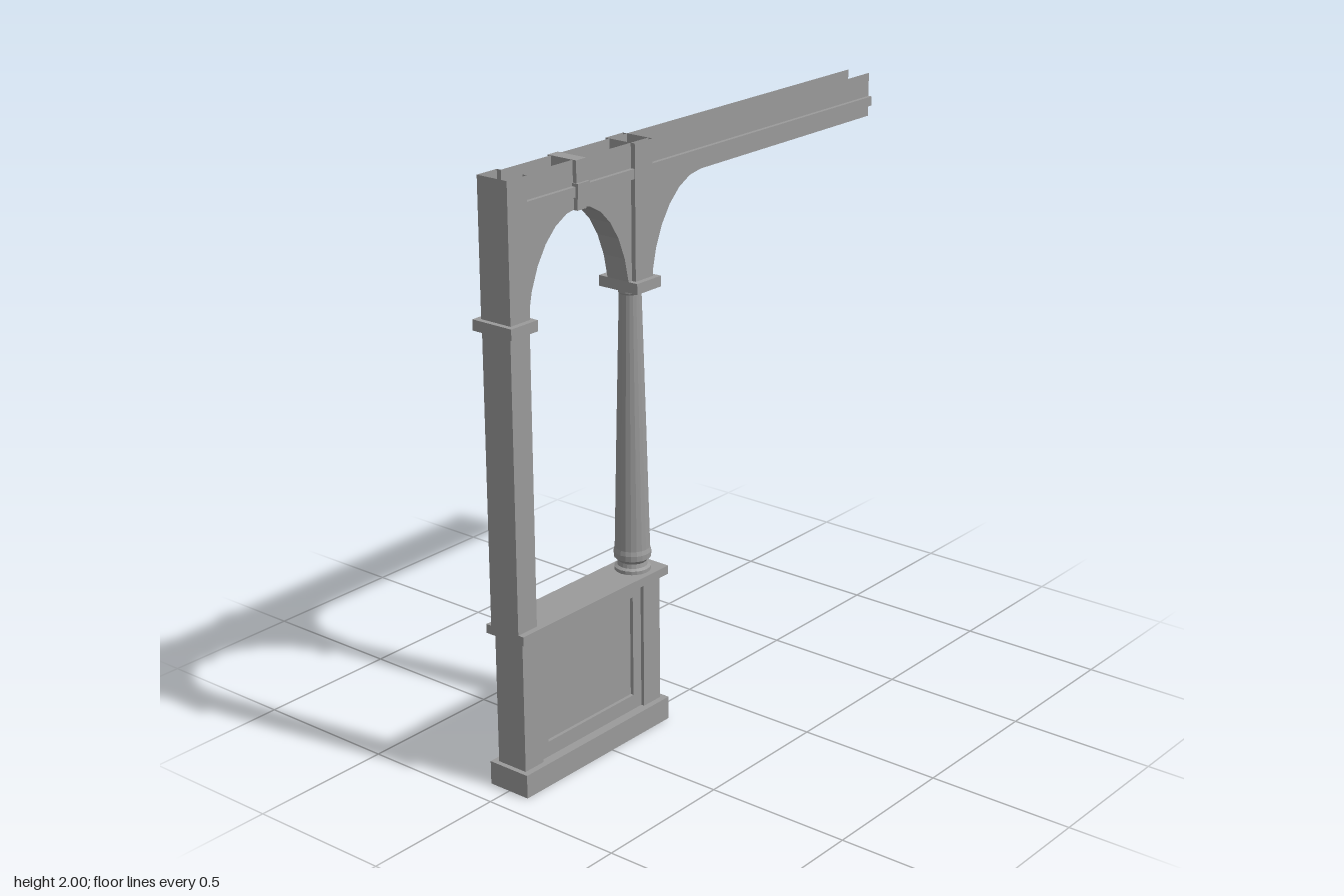
import * as THREE from 'three';

const material = new THREE.MeshStandardMaterial({ color: 0x9a9a9a, flatShading: true, side: THREE.DoubleSide });

// Main sizes
const WALL = 0.043, POST = 0.057, LEDGE = 0.078;   // half depths
const SPRING = 1.56, CROWN = 1.85, RIDGE = 1.888, TOP = 2;
const X_POST = -0.827, X_END = 0.927, X_COL = -0.298;

export function createModel() {
  const model = new THREE.Group();

  function add(name, geometry, x = 0, y = 0, z = 0, parent = model) {
    const mesh = new THREE.Mesh(geometry, material);
    mesh.name = name;
    mesh.position.set(x, y, z);
    parent.add(mesh);
    return mesh;
  }

  // Solid block from its limits
  function block(name, x0, x1, y0, y1, halfDepth) {
    return add(name, new THREE.BoxGeometry(x1 - x0, y1 - y0, halfDepth * 2), (x0 + x1) / 2, (y0 + y1) / 2);
  }

  // Ribbon swept from one end of an axis to the other; at(p, t) places a point
  function ribbon(points, from, to, at) {
    const positions = [];
    for (let i = 0; i < points.length - 1; i++) {
      const a = at(points[i], from), b = at(points[i + 1], from);
      const c = at(points[i + 1], to), d = at(points[i], to);
      positions.push(...a, ...b, ...c, ...a, ...c, ...d);
    }
    const geometry = new THREE.BufferGeometry();
    geometry.setAttribute('position', new THREE.Float32BufferAttribute(positions, 3));
    geometry.computeVertexNormals();
    return geometry;
  }
  const upright = (plan, y0, y1) => ribbon(plan, y0, y1, (p, y) => [p[0], y, p[1]]);
  const acrossZ = (path, half) => ribbon(path, -half, half, (p, z) => [p[0], p[1], z]);
  const alongX = (profile, x0, x1) => ribbon(profile, x0, x1, (p, x) => [x, p[0], p[1]]);
  const loop = (x0, x1, d) => [[x0, d], [x1, d], [x1, -d], [x0, -d], [x0, d]];
  const vectors = points => points.map(p => new THREE.Vector2(...p));

  // Hollow plinth with a ledge on top
  add('plinth', upright(loop(-0.912, -0.21, LEDGE), 0, 0.08));
  add('plinthLedge', new THREE.PlaneGeometry(0.702, LEDGE * 2).rotateX(-Math.PI / 2), -0.561, 0.08, 0);

  // Dado: end piers, framed panel on both faces, rail on top
  add('dadoPier', upright(loop(-0.895, -0.812, POST), 0.08, 0.53));
  add('dadoPier', upright(loop(-0.312, -0.229, POST), 0.08, 0.53));
  block('dadoPanel', -0.812, -0.312, 0.08, 0.53, 0.033);
  const frame = new THREE.Shape(vectors([[-0.812, 0.08], [-0.312, 0.08], [-0.312, 0.53], [-0.812, 0.53]]));
  frame.holes.push(new THREE.Path(vectors(
    [[-0.772, 0.132], [-0.772, 0.486], [-0.352, 0.486], [-0.352, 0.132]])));
  for (const z of [0.033, -0.045]) {
    add('panelFrame', new THREE.ExtrudeGeometry(frame, { depth: 0.012, bevelEnabled: false }), 0, 0, z);
  }
  block('dadoRail', -0.912, -0.21, 0.53, 0.56, LEDGE);

  // Square post and capitals
  add('wallPost', upright(loop(-0.912, X_POST, POST), 0.56, 1.525));
  block('postCapital', -0.93, -0.814, 1.525, SPRING, LEDGE);
  block('columnCapital', -0.356, -0.24, 1.525, SPRING, LEDGE);

  // Turned column, its dowel just showing above the capital
  const turned = [[0.06, 0.56], [0.06, 0.572], [0.05, 0.578], [0.047, 0.592], [0.052, 0.598],
    [0.061, 0.606], [0.062, 0.625], [0.058, 0.64], [0.048, 1.05], [0.036, 1.505],
    [0.039, 1.51], [0.039, 1.525], [0.044, 1.53], [0.044, 1.562], [0, 1.562]];
  add('column', new THREE.LatheGeometry(vectors(turned), 20), X_COL, 0, 0);

  // Underside line: full arch between post and column, half arch, then the straight beam.
  // Each arch is an ellipse cut a little above its widest line, so it leaves the capital at a slope.
  const CUT = 0.22;
  function arch(centre, half, end, steps) {
    const start = Math.PI - CUT;
    return Array.from({ length: steps + 1 }, (_, i) => {
      const a = start + (end - start) * i / steps;
      const rise = (Math.sin(a) - Math.sin(CUT)) / (1 - Math.sin(CUT));
      return [centre + half * Math.cos(a) / Math.cos(CUT), SPRING + (CROWN - SPRING) * rise];
    });
  }
  const fullArch = arch(-0.586, 0.23, CUT, 12);
  const halfArch = [...arch(0.003, 0.243, Math.PI / 2, 6), [X_END, CROWN]];
  add('archSoffit', acrossZ(fullArch, WALL));
  add('beamSoffit', acrossZ(halfArch, WALL));

  // Front and back faces of the open-topped beam
  const spandrel = new THREE.Shape(vectors(
    [[X_POST, RIDGE], [X_POST, SPRING], ...fullArch, ...halfArch, [X_END, RIDGE]]));
  for (const s of [1, -1]) {
    const face = new THREE.Group();
    face.name = s > 0 ? 'beamFront' : 'beamBack';
    face.scale.z = s;
    model.add(face);
    add('spandrel', new THREE.ShapeGeometry(spandrel), 0, 0, WALL, face);
    add('ridgeAndFascia', alongX([[RIDGE, WALL], [RIDGE, 0.057], [1.92, 0.057], [1.92, WALL], [TOP, WALL]],
      X_POST, X_END), 0, 0, 0, face);
  }

  // Keystone through the beam: top, wider belt and narrow foot
  block('keystoneTop', -0.608, -0.562, 1.93, TOP, 0.057);
  block('keystoneBelt', -0.612, -0.558, 1.883, 1.93, 0.066);
  block('keystoneFoot', -0.605, -0.565, 1.845, 1.883, 0.057);

  // Open-topped posts above the capitals; the end one closes the beam
  add('upperColumnPost', upright(loop(-0.34, -0.256, 0.059), SPRING, TOP));
  add('upperWallPost', upright([[X_POST, WALL], [X_POST, 0.059], [-0.912, 0.059], [-0.912, -0.059],
    [X_POST, -0.059], [X_POST, -WALL]], SPRING, TOP));

  return model;
}
